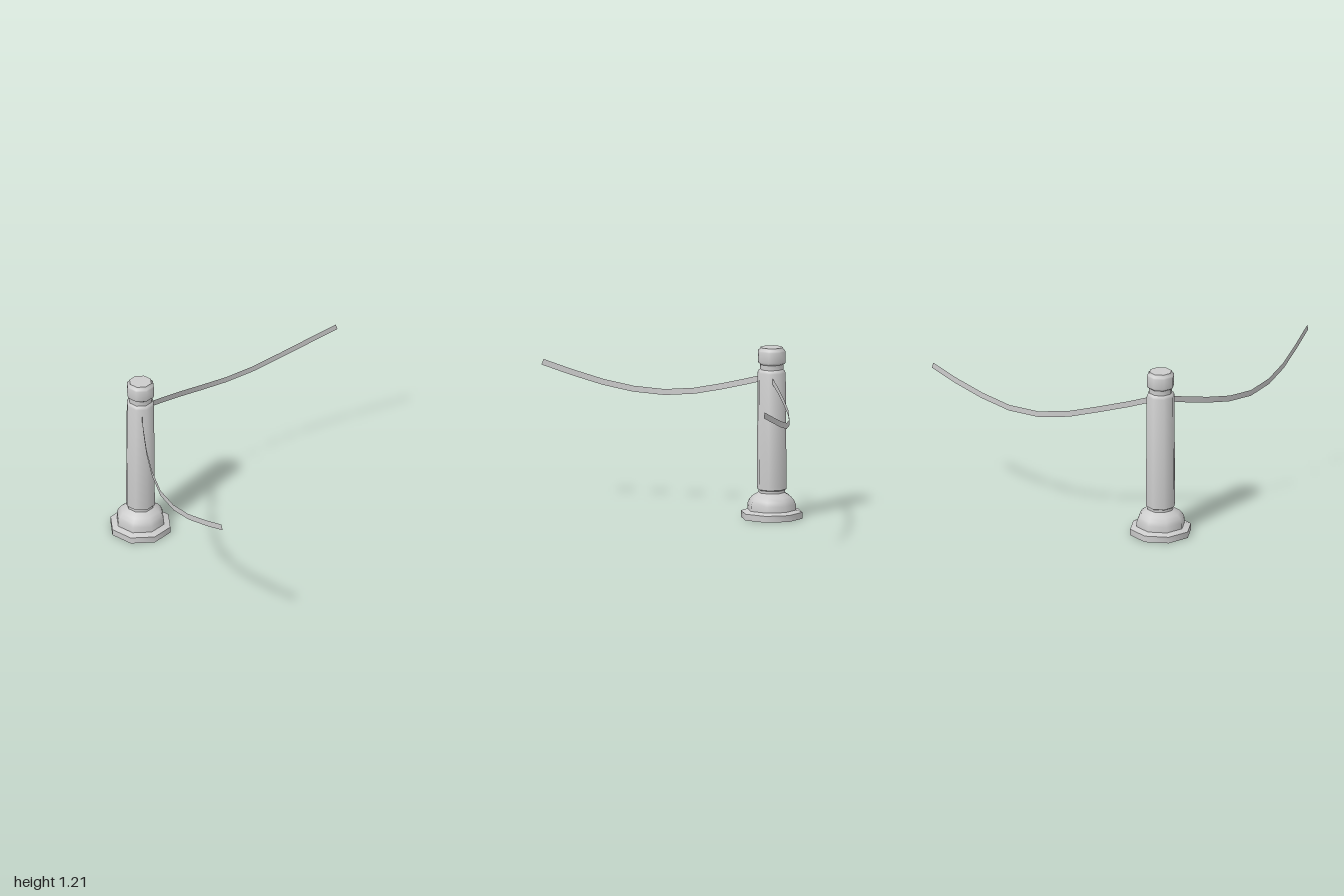
import * as THREE from 'three';
import { toCreasedNormals } from 'three/addons/utils/BufferGeometryUtils.js';

const material = new THREE.MeshStandardMaterial({ color: 0xcccccc, side: THREE.DoubleSide });

// Eight-sided turned piece from a [radius, height] profile, bottom to top
function turned(name, profile) {
  const points = profile.map(([r, y]) => new THREE.Vector2(r, y));
  const mesh = new THREE.Mesh(toCreasedNormals(new THREE.LatheGeometry(points, 8), 0.9), material);
  mesh.name = name;
  return mesh;
}

// Flat upright band that follows a path of [x, y, z] points
function ribbon(name, path, width) {
  const pts = path.map((p) => new THREE.Vector3(...p));
  const positions = [];
  const index = [];
  pts.forEach((p, i) => {
    const tangent = pts[Math.min(i + 1, pts.length - 1)].clone().sub(pts[Math.max(i - 1, 0)]).normalize();
    const side = new THREE.Vector3(-tangent.z, 0, tangent.x).normalize();
    const up = side.cross(tangent).normalize().multiplyScalar(width / 2);
    positions.push(...p.clone().add(up).toArray(), ...p.clone().sub(up).toArray());
    if (i > 0) {
      const a = 2 * i - 2;
      index.push(a, a + 1, a + 2, a + 1, a + 3, a + 2);
    }
  });
  const geometry = new THREE.BufferGeometry();
  geometry.setAttribute('position', new THREE.Float32BufferAttribute(positions, 3));
  geometry.setIndex(index);
  geometry.computeVertexNormals();
  const mesh = new THREE.Mesh(geometry, material);
  mesh.name = name;
  return mesh;
}

export function createModel() {
  const model = new THREE.Group();
  model.name = 'ropeBarrierPost';

  // Post: hollow flanged foot, shaft and rounded cap
  const post = new THREE.Group();
  post.name = 'post';
  post.position.set(-0.713, 0, -0.685);
  post.add(
    turned('foot', [[0.22, 0], [0.22, 0.045], [0.174, 0.06], [0.172, 0.1], [0.16, 0.13],
      [0.138, 0.155], [0.1, 0.178], [0.094, 0.182], [0.094, 0.205]]),
    turned('shaft', [[0.094, 0.2], [0.106, 0.207], [0.106, 0.225], [0.1, 1.03], [0.094, 1.045], [0.083, 1.055]]),
    turned('cap', [[0.083, 1.05], [0.083, 1.09], [0.097, 1.1], [0.099, 1.11], [0.099, 1.18],
      [0.095, 1.19], [0.083, 1.2], [0.08, 1.21], [0, 1.21]]),
  );
  model.add(post);

  // Two sagging ropes leaving the post at right angles
  model.add(ribbon('leftRope', [
    [-0.63, 0.985, -0.705], [-0.5, 0.948, -0.768], [-0.31, 0.9, -0.848], [-0.105, 0.85, -0.925],
    [0.11, 0.823, -0.975], [0.33, 0.835, -0.998], [0.55, 0.885, -0.999], [0.77, 0.95, -0.987],
    [0.97, 1.017, -0.965],
  ], 0.042));
  model.add(ribbon('frontRope', [
    [-0.745, 0.982, -0.6], [-0.795, 0.945, -0.48], [-0.866, 0.892, -0.29], [-0.925, 0.845, -0.09],
    [-0.97, 0.821, 0.13], [-0.984, 0.835, 0.355], [-0.976, 0.878, 0.57], [-0.952, 0.945, 0.79],
    [-0.927, 1.015, 0.992],
  ], 0.042));

  return model;
}
